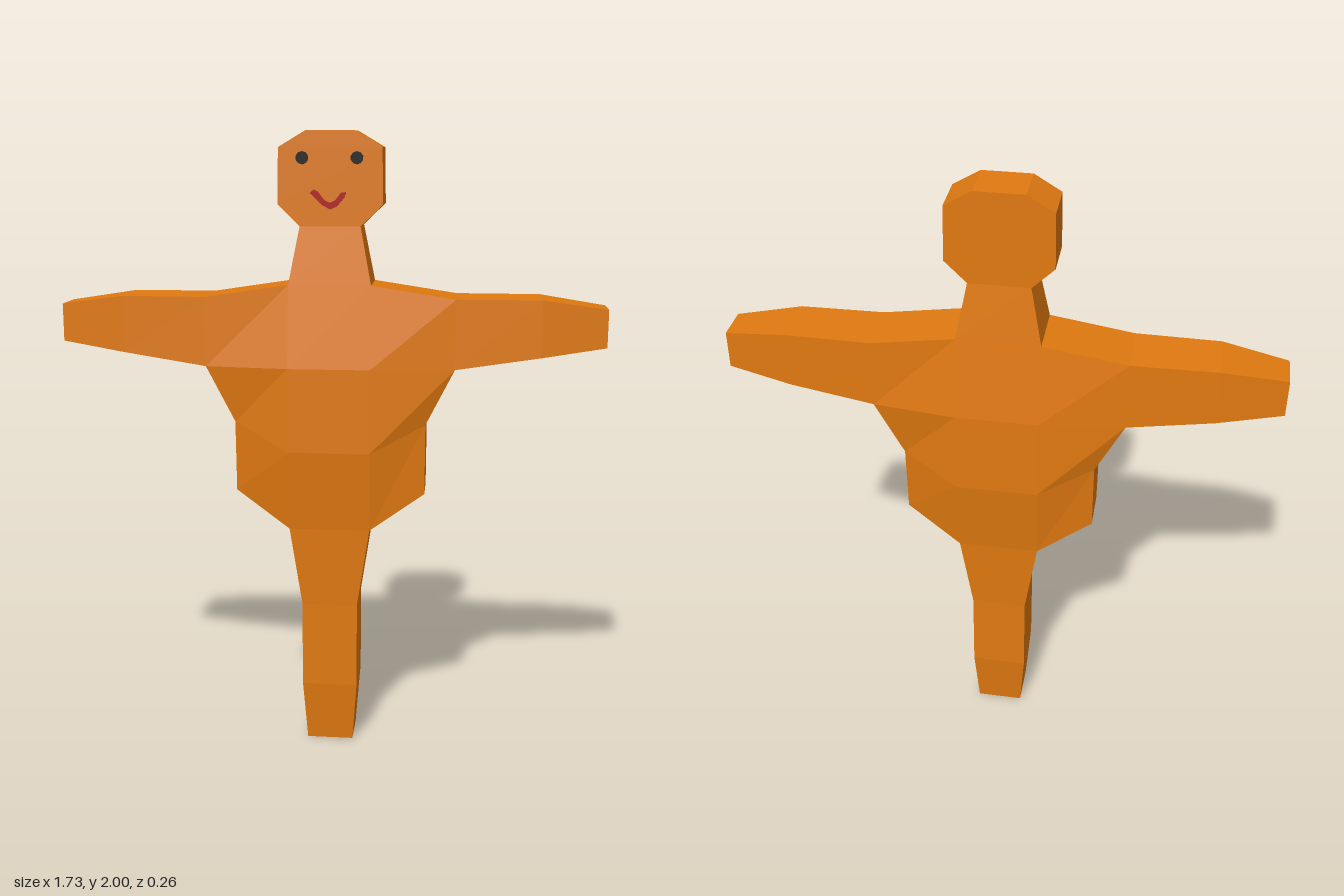
import * as THREE from 'three';

// A point is [x, y, half depth]; the figure is the same front and back.
const mirror = ([x, y, d]) => [-x, y, d];
const mirrorRun = (run) => run.map(mirror).reverse();

// Builds a part from counter-clockwise panels (front and back) and rims (the walls joining them).
function slab(panels, rims) {
  const pos = [];
  const face = (c) => {
    for (let i = 1; i < c.length - 1; i++) pos.push(...c[0], ...c[i], ...c[i + 1]);
  };
  const front = (p) => p;
  const back = ([x, y, d]) => [x, y, -d];
  for (const p of panels) {
    face(p.map(front));
    face(p.map(back).reverse());
  }
  for (const run of rims) {
    for (let i = 0; i < run.length - 1; i++) {
      const a = run[i], b = run[i + 1];
      face([front(a), back(a), back(b), front(b)]);
    }
  }
  const g = new THREE.BufferGeometry();
  g.setAttribute('position', new THREE.Float32BufferAttribute(pos, 3));
  g.computeVertexNormals();
  return g;
}

// Panels across the centre line, between successive points of the right edge
const column = (run) => run.slice(0, -1).map((a, i) => [mirror(a), a, run[i + 1], mirror(run[i + 1])]);

export function createModel() {
  const group = new THREE.Group();
  const skin = new THREE.MeshStandardMaterial({ color: 0xe07910, flatShading: true });
  skin.name = 'orange';
  const black = new THREE.MeshStandardMaterial({ color: 0x0c0804 });
  black.name = 'black';
  const red = new THREE.MeshStandardMaterial({ color: 0xb01010 });
  red.name = 'red';
  const add = (name, geometry, material = skin) => {
    const mesh = new THREE.Mesh(geometry, material);
    mesh.name = name;
    group.add(mesh);
    return mesh;
  };

  // Points shared between parts
  const hip = [0.13, 0.74, 0.10], waist = [0.13, 1.0, 0.13], chest = [0.13, 1.27, 0.13];
  const shoulder = [0.13, 1.53, 0.095], neckTop = [0.095, 1.71, 0.072];
  const armpit = [0.395, 1.27, 0.098], armTop = [0.395, 1.49, 0.095];

  // Single tapering leg with a flat sole
  const leg = [[0.075, 0, 0.072], [0.09, 0.2, 0.09], [0.09, 0.48, 0.09], hip];
  add('leg', slab(column(leg), [leg, mirrorRun(leg), [mirror(leg[0]), leg[0]]]));

  // Torso with a flank on each side
  const flankLow = [0.305, 0.86, 0.072], flankHigh = [0.305, 1.09, 0.086];
  const flank = [[hip, flankLow, flankHigh, waist], [waist, flankHigh, armpit, chest]];
  const flankRim = [hip, flankLow, flankHigh, armpit];
  add('torso', slab(
    [...column([hip, waist, chest, shoulder]), ...flank, ...flank.map(mirrorRun)],
    [flankRim, mirrorRun(flankRim)]));

  // Outstretched arms
  const elbowLow = [0.66, 1.31, 0.09], elbowTop = [0.66, 1.49, 0.09];
  const handLow = [0.865, 1.34, 0.06], handTop = [0.865, 1.46, 0.06];
  const arm = [
    [chest, armpit, armTop, shoulder],
    [armpit, elbowLow, elbowTop, armTop],
    [elbowLow, handLow, handTop, elbowTop],
  ];
  const armRim = [armpit, elbowLow, handLow, handTop, elbowTop, armTop, shoulder];
  add('leftArm', slab(arm, [armRim]));
  add('rightArm', slab(arm.map(mirrorRun), [mirrorRun(armRim)]));

  // Neck
  const neck = [shoulder, neckTop];
  add('neck', slab(column(neck), [neck, mirrorRun(neck)]));

  // Flat eight-sided head
  const head = [neckTop, [0.164, 1.777, 0.072], [0.161, 1.95, 0.072], [0.077, 2, 0.072]];
  add('head', slab(column(head), [head, mirrorRun(head), [head[3], mirror(head[3])]]));

  // Eyes
  for (const [name, x] of [['leftEye', 0.083], ['rightEye', -0.087]]) {
    const eye = add(name, new THREE.CylinderGeometry(0.02, 0.02, 0.006, 10).rotateX(Math.PI / 2), black);
    eye.position.set(x, 1.918, 0.073);
  }

  // Smiling mouth
  const smile = new THREE.Shape([
    [-0.062, 1.812], [-0.05, 1.823], [-0.037, 1.815], [-0.018, 1.79], [0, 1.782], [0.016, 1.79],
    [0.034, 1.813], [0.05, 1.815], [0.044, 1.797], [0.02, 1.77], [0, 1.762], [-0.026, 1.776],
  ].map(([x, y]) => new THREE.Vector2(x, y)));
  add('mouth', new THREE.ExtrudeGeometry(smile, { depth: 0.006, bevelEnabled: false }).translate(0, 0, 0.07), red);

  return group;
}
